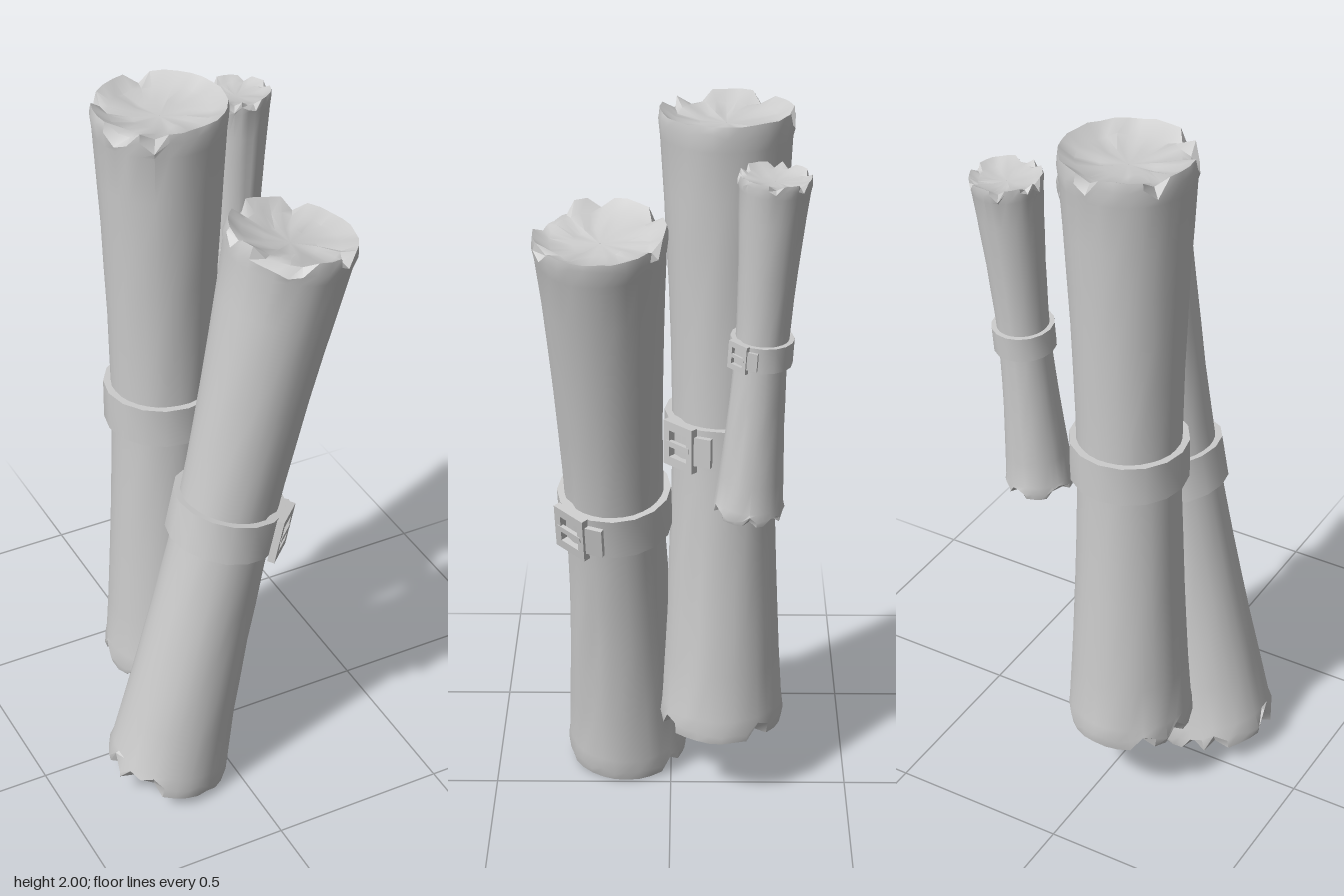
import * as THREE from 'three';
import { toCreasedNormals } from 'three/addons/utils/BufferGeometryUtils.js';

const SIDES = 30;

function seeded(seed) {
  let s = seed;
  return () => ((s = (s * 16807) % 2147483647) / 2147483647);
}

function material() {
  return new THREE.MeshStandardMaterial({ color: 0xcccccc, side: THREE.DoubleSide });
}

function mesh(geometry, name, crease = 0.6) {
  const m = new THREE.Mesh(toCreasedNormals(geometry, crease), material());
  m.name = name;
  return m;
}

// Waisted log with ragged, slightly hollow ends, built ring by ring along y
function logGeometry(length, endR, waistR, seed) {
  const rand = seeded(seed);
  const half = length / 2;
  const radiusAt = (y) => waistR + (endR - waistR) * Math.pow(Math.abs(y) / half, 1.6);
  const rings = [];
  const ring = (fn) => rings.push(Array.from({ length: SIDES }, (_, j) => fn(j)));

  // one end: dish centre out to the shoulder
  const end = (sign) => {
    const start = rings.length;
    ring(() => [0.001, sign * (half - 0.24 * endR)]);
    ring(() => [endR * 0.4, sign * (half - (0.19 + 0.05 * rand()) * endR)]);
    ring(() => [endR * 0.75, sign * (half - (0.12 + 0.06 * rand()) * endR)]);
    const chips = Array.from({ length: SIDES }, () => (rand() < 0.25 ? 1 : 0));
    ring((j) => [
      endR * (0.96 - 0.1 * chips[j] + 0.03 * rand()),
      sign * (half - endR * (0.03 * rand() + 0.14 * chips[j])),
    ]);
    ring((j) => [endR * (0.99 + 0.02 * rand()), sign * (half - endR * (0.1 + 0.14 * rand() + 0.12 * chips[j]))]);
    return rings.splice(start);
  };

  const bottom = end(-1);
  const top = end(1).reverse();
  rings.push(...bottom);
  // body, with two shallow drying cracks
  const steps = 12;
  const cracks = [
    { j: 3, from: 0.08, to: 0.3 },
    { j: 5, from: 0.3, to: 0.6 },
  ];
  for (let i = 0; i <= steps; i++) {
    const t = i / steps;
    const y = (t - 0.5) * (length - 0.8 * endR);
    ring((j) => {
      const split = cracks.some((c) => c.j === j && t > c.from && t < c.to);
      return [radiusAt(y) * (split ? 0.95 : 0.99 + 0.015 * rand()), y];
    });
  }
  rings.push(...top);

  const pos = [];
  const index = [];
  rings.forEach((row) =>
    row.forEach(([r, y], j) => {
      const a = (j / SIDES) * Math.PI * 2;
      pos.push(r * Math.cos(a), y, r * Math.sin(a));
    })
  );
  for (let i = 0; i < rings.length - 1; i++) {
    for (let j = 0; j < SIDES; j++) {
      const k = (j + 1) % SIDES;
      const a = i * SIDES + j, b = i * SIDES + k;
      index.push(a, a + SIDES, b, b, a + SIDES, b + SIDES);
    }
  }
  const g = new THREE.BufferGeometry();
  g.setAttribute('position', new THREE.Float32BufferAttribute(pos, 3));
  g.setIndex(index);
  return g;
}

// Strap band with rectangular section
function bandGeometry(inner, outer, height) {
  const h = height / 2;
  const profile = [[inner, -h], [outer, -h], [outer, h], [inner, h], [inner, -h]];
  return new THREE.LatheGeometry(profile.map(([x, y]) => new THREE.Vector2(x, y)), 16);
}

// Square frame with prong and strap tail, facing +z
function makeBuckle(size, thick) {
  const buckle = new THREE.Group();
  buckle.name = 'buckle';
  const w = size * 0.42, h = size * 0.5;
  const frame = new THREE.Shape([[-w, -h], [w, -h], [w, h], [-w, h]].map(([x, y]) => new THREE.Vector2(x, y)));
  const k = 0.6;
  frame.holes.push(new THREE.Path(
    [[-w * k, -h * k], [-w * k, h * k], [w * k, h * k], [w * k, -h * k]].map(([x, y]) => new THREE.Vector2(x, y))
  ));
  buckle.add(mesh(new THREE.ExtrudeGeometry(frame, { depth: thick, bevelEnabled: false }), 'buckleFrame'));
  const prong = mesh(new THREE.BoxGeometry(w * 1.6, h * 0.25, thick * 0.6), 'buckleProng');
  prong.position.z = thick * 0.8;
  const tail = mesh(new THREE.BoxGeometry(w * 0.9, h * 1.3, thick * 0.7), 'strapTail');
  tail.position.set(w * 1.35, 0, -thick * 0.15);
  tail.rotation.y = 0.4;
  buckle.add(prong, tail);
  return buckle;
}

function makeLog({ name, from, to, endR, waistR, beltR, beltH, seed }) {
  const a = new THREE.Vector3(...from);
  const b = new THREE.Vector3(...to);
  const axis = b.clone().sub(a);
  const group = new THREE.Group();
  group.name = name;
  group.add(mesh(logGeometry(axis.length(), endR, waistR, seed), 'log'));
  group.add(mesh(bandGeometry(waistR * 0.97, beltR, beltH), 'strap', 0.5));

  const buckle = makeBuckle(beltH * 1.1, beltR * 0.13);
  const angle = Math.PI / 4;
  buckle.position.set(Math.sin(angle), 0, Math.cos(angle)).multiplyScalar(beltR * 0.97);
  buckle.rotation.y = angle;
  group.add(buckle);

  group.position.copy(a).add(b).multiplyScalar(0.5);
  group.quaternion.setFromUnitVectors(new THREE.Vector3(0, 1, 0), axis.normalize());
  return group;
}

export function createModel() {
  const model = new THREE.Group();
  model.name = 'strappedLogs';
  const logs = [
    { name: 'frontLog', from: [-0.175, 0.036, 0.126], to: [0.17, 1.745, 0.178], endR: 0.173, waistR: 0.134, beltR: 0.155, beltH: 0.12, seed: 11 },
    { name: 'backLog', from: [-0.043, 0.21, -0.143], to: [-0.043, 2.0, -0.143], endR: 0.176, waistR: 0.139, beltR: 0.16, beltH: 0.115, seed: 47 },
    { name: 'smallLog', from: [0.196, 0.972, -0.206], to: [0.236, 1.915, -0.26], endR: 0.093, waistR: 0.068, beltR: 0.082, beltH: 0.068, seed: 83 },
  ];
  logs.forEach((spec) => model.add(makeLog(spec)));
  return model;
}
